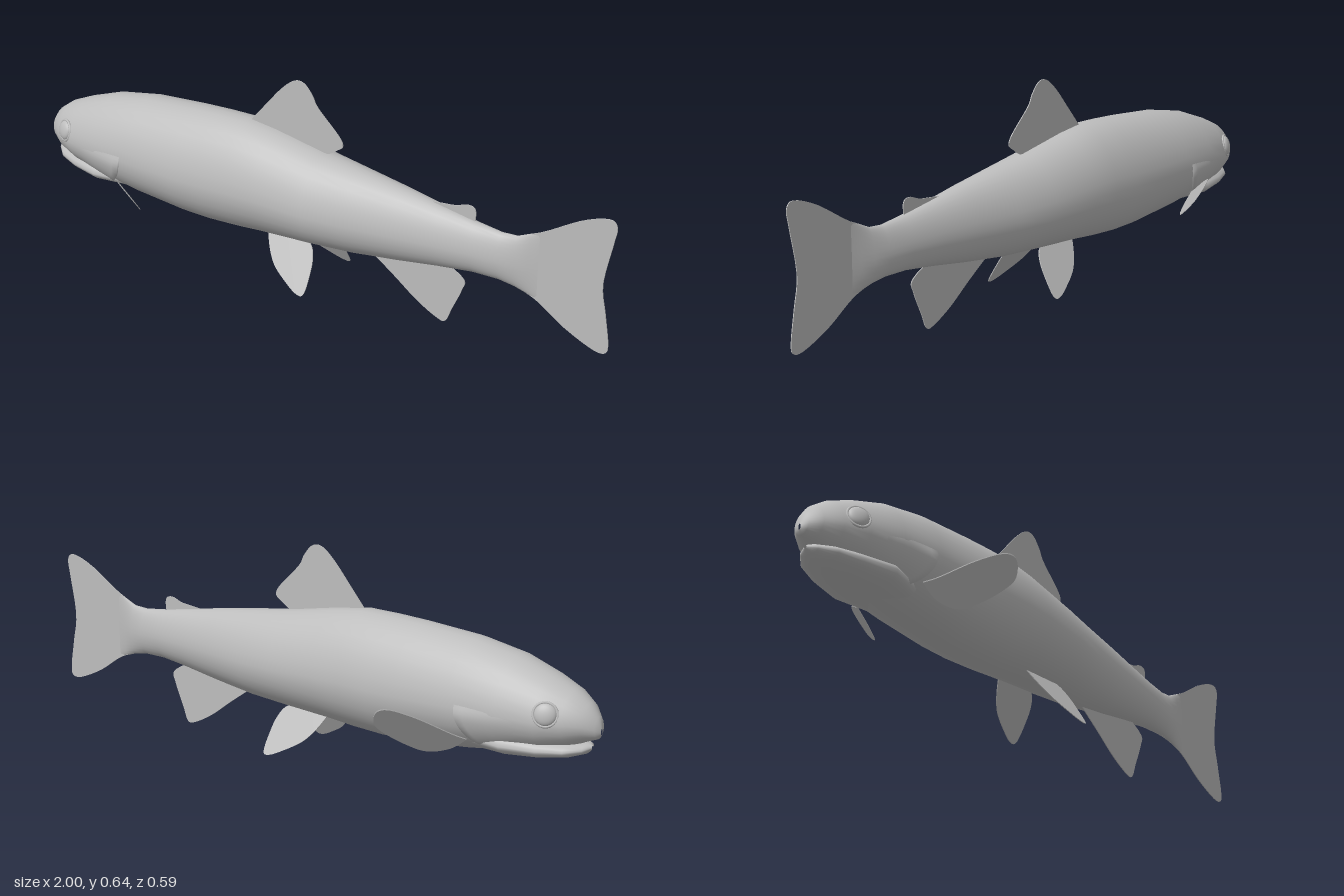
import * as THREE from 'three';

const skin = new THREE.MeshStandardMaterial({ color: 0xbdbdbd });
skin.name = 'grey skin';

// Stations: x, top, bottom, half width
const BODY = [
  [-1, 0.262, 0.245, 0.004], [-0.992, 0.295, 0.232, 0.026], [-0.965, 0.33, 0.222, 0.054],
  [-0.92, 0.362, 0.2, 0.086], [-0.85, 0.392, 0.178, 0.114], [-0.74, 0.43, 0.155, 0.136],
  [-0.6, 0.456, 0.135, 0.145], [-0.42, 0.47, 0.118, 0.148], [-0.32, 0.475, 0.116, 0.148],
  [-0.22, 0.477, 0.121, 0.146], [-0.12, 0.465, 0.13, 0.142], [0.05, 0.434, 0.14, 0.13],
  [0.18, 0.416, 0.147, 0.108], [0.33, 0.395, 0.165, 0.082], [0.46, 0.373, 0.184, 0.061],
  [0.57, 0.355, 0.197, 0.044], [0.65, 0.346, 0.197, 0.031], [0.7, 0.35, 0.189, 0.021],
  [0.74, 0.368, 0.177, 0.01], [0.77, 0.381, 0.168, 0.003],
];
const JAW = [
  [-0.975, 0.21, 0.2, 0.004], [-0.96, 0.216, 0.186, 0.034], [-0.92, 0.222, 0.172, 0.07],
  [-0.85, 0.23, 0.159, 0.096], [-0.75, 0.24, 0.152, 0.12], [-0.65, 0.24, 0.15, 0.1],
];

// Egg-shaped section point; k swells the section
function section([x, top, bottom, w], a, k = 0) {
  const mid = bottom + 0.46 * (top - bottom), s = Math.sin(a);
  const y = (s > 0 ? top - mid : mid - bottom) * s;
  const z = w * Math.cos(a) * (1 - 0.08 * Math.max(s, 0));
  return [x, mid + y * (1 + k), z * (1 + k)];
}

function stationAt(x) {
  const i = Math.max(1, BODY.findIndex((s) => s[0] >= x));
  const a = BODY[i - 1], b = BODY[i], t = (x - a[0]) / (b[0] - a[0]);
  return a.map((v, n) => v + (b[n] - v) * t);
}

// Grid of points, optionally wrapped in the second direction
function grid(rows, cols, point, { wrap = false, flip = false } = {}) {
  const pos = [], index = [];
  for (let i = 0; i < rows; i++) for (let j = 0; j < cols; j++) pos.push(...point(i, j));
  for (let i = 0; i < rows - 1; i++) {
    for (let j = 0; j < (wrap ? cols : cols - 1); j++) {
      const n = (j + 1) % cols;
      const a = i * cols + j, b = a + cols, c = i * cols + n, d = c + cols;
      if (flip) index.push(a, c, b, b, c, d);
      else index.push(a, b, c, b, d, c);
    }
  }
  const g = new THREE.BufferGeometry();
  g.setAttribute('position', new THREE.Float32BufferAttribute(pos, 3));
  g.setIndex(index);
  g.computeVertexNormals();
  return g;
}

const loft = (stations, sides = 32) => grid(stations.length, sides,
  (i, j) => section(stations[i], (j / sides) * Math.PI * 2), { wrap: true });

// Thin fin from a smooth closed outline; place maps (x, y, depth) into space
function finGeometry(points, place) {
  const v = points.map(([x, y]) => new THREE.Vector2(x, y));
  const shape = new THREE.Shape(new THREE.SplineCurve([...v, v[0]]).getPoints(60));
  const g = new THREE.ExtrudeGeometry(shape, { depth: 0.003, bevelEnabled: false });
  g.translate(0, 0, -0.0015);
  if (place) {
    const p = g.attributes.position;
    for (let i = 0; i < p.count; i++) p.setXYZ(i, ...place(p.getX(i), p.getY(i), p.getZ(i)));
    g.computeVertexNormals();
  }
  return g;
}

const DORSAL = [[-0.22, 0.465], [-0.16, 0.535], [-0.1, 0.603], [-0.055, 0.638], [-0.02, 0.637],
  [0.01, 0.605], [0.03, 0.57], [0.1, 0.502], [0.117, 0.472], [0.1, 0.454], [0.04, 0.425], [-0.1, 0.42]];
const ADIPOSE = [[0.38, 0.375], [0.45, 0.382], [0.5, 0.388], [0.535, 0.4], [0.56, 0.396],
  [0.566, 0.372], [0.55, 0.345], [0.45, 0.34]];
const ANAL = [[0.22, 0.155], [0.3, 0.1], [0.38, 0.042], [0.45, 0.005], [0.48, 0.004], [0.5, 0.05],
  [0.53, 0.12], [0.534, 0.16], [0.45, 0.2], [0.33, 0.2]];
const TAIL = [[0.64, 0.335], [0.7, 0.35], [0.78, 0.386], [0.89, 0.452], [0.97, 0.48], [0.997, 0.462],
  [0.99, 0.41], [0.968, 0.28], [0.982, 0.19], [0.997, 0.1], [0.99, 0.067], [0.95, 0.067],
  [0.86, 0.107], [0.77, 0.165], [0.7, 0.19], [0.64, 0.21]];
const PELVIC = [[-0.12, 0.15], [-0.095, 0.105], [-0.06, 0.065], [0, 0.03], [0.04, 0.013], [0.063, 0.017],
  [0.066, 0.06], [0.058, 0.115], [0.03, 0.15], [-0.04, 0.16]];
// Outline seen from above: x, distance from the middle
const PECTORAL = [[-0.65, 0.12], [-0.62, 0.152], [-0.56, 0.225], [-0.505, 0.28], [-0.47, 0.295],
  [-0.45, 0.278], [-0.46, 0.25], [-0.495, 0.2], [-0.54, 0.153], [-0.6, 0.125]];

export function createModel() {
  const model = new THREE.Group();
  const add = (name, geometry) => {
    const mesh = new THREE.Mesh(geometry, skin);
    mesh.name = name;
    model.add(mesh);
    return mesh;
  };

  add('body', loft(BODY));
  add('lowerJaw', loft(JAW, 24));
  add('dorsalFin', finGeometry(DORSAL));
  add('adiposeFin', finGeometry(ADIPOSE));
  add('analFin', finGeometry(ANAL));
  add('tailFin', finGeometry(TAIL));

  for (const s of [1, -1]) {
    const side = s > 0 ? 'Front' : 'Back';
    // Paired fins
    add('pelvicFin' + side, finGeometry(PELVIC,
      (x, y, d) => [x, y, d + s * (0.057 + 0.61 * (0.135 - y))]));
    add('pectoralFin' + side, finGeometry(PECTORAL,
      (x, z, d) => [x, 0.15 - 0.833 * (x + 0.54) + 1.345 * (z - 0.155) - s * d, s * z]));

    // Raised gill cover with a curved rear edge
    const rows = 10, cols = 16;
    add('gillCover' + side, grid(rows, cols, (i, j) => {
      const v = j / (cols - 1), a = THREE.MathUtils.degToRad(-65 + 70 * v);
      const edge = -0.62 - 0.12 * (1 - v) ** 2;
      const u = Math.min(1, i / (rows - 2));
      const fade = Math.min(1, 6 * v, 6 * (1 - v));
      const k = i === rows - 1 ? -0.03 : -0.01 + 0.06 * u * fade;
      const [x, y, z] = section(stationAt(-0.82 + (edge + 0.82) * u), a, k);
      return [x, y, s * z];
    }, { flip: s < 0 }));

    // Eye bulge with a thin rim
    const eye = new THREE.Group();
    eye.name = 'eye' + side;
    const ball = new THREE.Mesh(new THREE.SphereGeometry(0.031, 24, 16), skin);
    ball.name = 'eyeball';
    ball.scale.z = 0.45;
    const rim = new THREE.Mesh(new THREE.TorusGeometry(0.033, 0.004, 8, 28), skin);
    rim.name = 'eyeRim';
    eye.add(ball, rim);
    eye.position.set(-0.88, 0.302, s * 0.094);
    eye.rotation.set(-0.25 * s, -0.4 * s, 0);
    model.add(eye);
  }
  return model;
}
